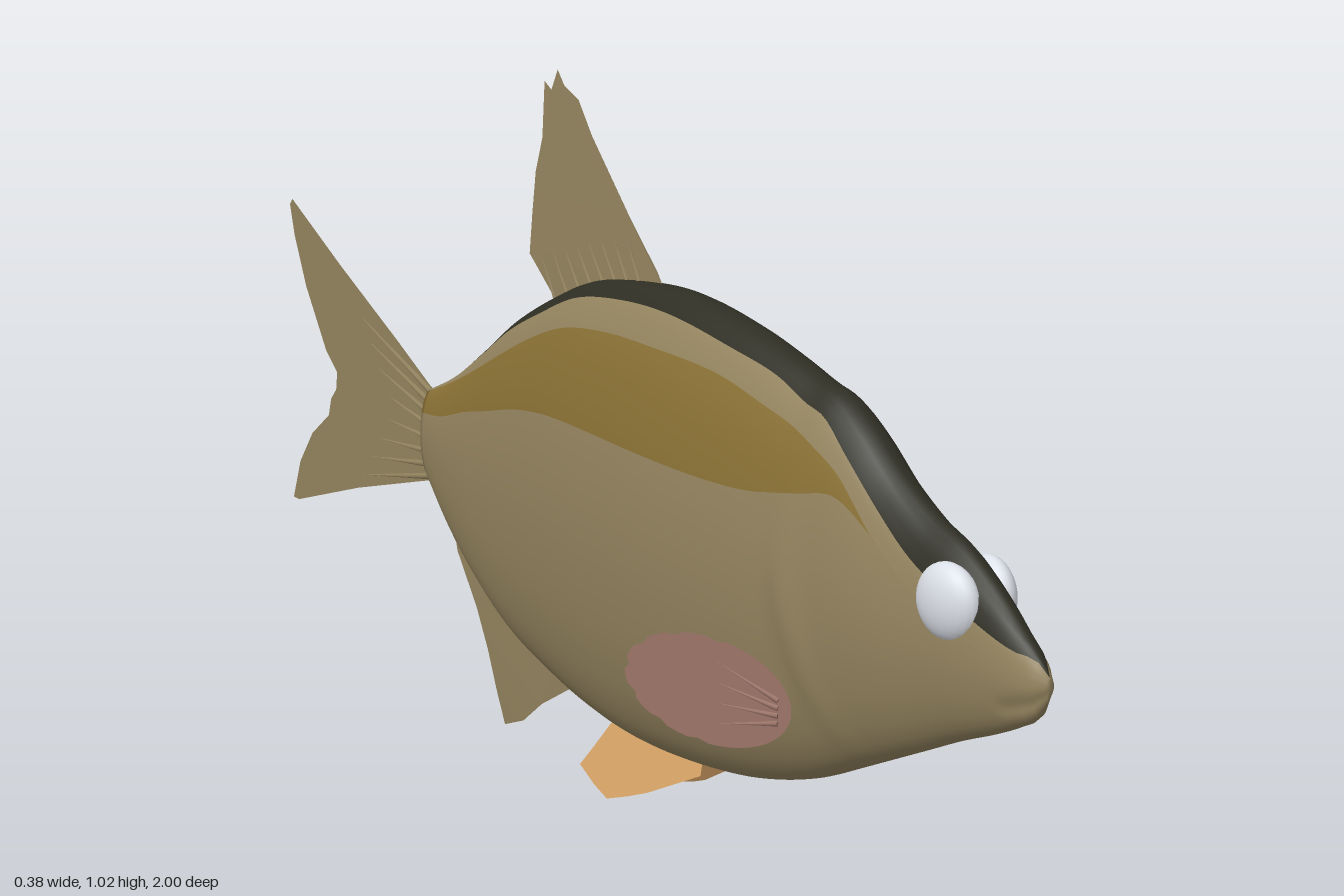
import * as THREE from 'three';

const mat = (name, color, side = THREE.FrontSide) => {
  const m = new THREE.MeshStandardMaterial({ color, side });
  m.name = name;
  return m;
};

// Body stations: z, then bottom, top, half width, back edge, gold top, gold bottom
const STATIONS = [
  [-0.49, 0.34, 0.485, 0.02, 0.485, 0.482, 0.45],
  [-0.40, 0.27, 0.525, 0.038, 0.525, 0.515, 0.465],
  [-0.30, 0.21, 0.585, 0.056, 0.577, 0.555, 0.495],
  [-0.20, 0.165, 0.65, 0.07, 0.635, 0.60, 0.52],
  [-0.10, 0.14, 0.70, 0.081, 0.68, 0.645, 0.545],
  [0.00, 0.122, 0.74, 0.09, 0.72, 0.68, 0.56],
  [0.12, 0.113, 0.762, 0.097, 0.74, 0.698, 0.565],
  [0.25, 0.12, 0.77, 0.10, 0.745, 0.702, 0.565],
  [0.40, 0.143, 0.752, 0.095, 0.728, 0.695, 0.565],
  [0.50, 0.17, 0.73, 0.088, 0.71, 0.675, 0.57],
  [0.56, 0.192, 0.714, 0.081, 0.69, 0.66, 0.58],
  [0.60, 0.21, 0.706, 0.076, 0.68, 0.645, 0.588],
  [0.65, 0.235, 0.68, 0.07, 0.645, 0.62, 0.595],
  [0.72, 0.27, 0.63, 0.06, 0.59, 0.56, 0.56],
  [0.78, 0.30, 0.598, 0.051, 0.55, 0.52, 0.52],
  [0.85, 0.335, 0.572, 0.042, 0.52, 0.49, 0.49],
  [0.91, 0.362, 0.535, 0.032, 0.495, 0.47, 0.47],
  [0.955, 0.385, 0.50, 0.024, 0.48, 0.46, 0.46],
  [0.985, 0.405, 0.477, 0.016, 0.474, 0.455, 0.455],
  [1.00, 0.43, 0.458, 0.007, 0.458, 0.452, 0.452],
];
const PANELS = [4, 3, 5, 20];      // strips per half: back, flank, gold, flank
const PANEL_MATERIAL = [1, 0, 2, 0];

// Body lofted from elliptical rings, with strip edges following the colour bands
function bodyGeometry() {
  const spline = new THREE.CubicInterpolant(
    STATIONS.map((s) => s[0]), STATIONS.flatMap((s) => s.slice(1)), 6, new Float32Array(6));
  const steps = 110, half = PANELS.reduce((a, b) => a + b), ring = half * 2;
  const pos = [], faces = [[], [], []];
  const bump = (v, width) => Math.exp(-((v / width) ** 2));

  for (let i = 0; i <= steps; i++) {
    const z = -0.49 + 1.49 * i / steps;
    const [bottom, top, width, ...bands] = spline.evaluate(z);
    const cy = (top + bottom) / 2, h = (top - bottom) / 2;
    const stops = [0];
    for (const y of bands) {
      const a = Math.acos(THREE.MathUtils.clamp((y - cy) / h, -1, 1));
      stops.push(Math.max(a, stops[stops.length - 1]));
    }
    stops.push(Math.PI);
    const angles = [];
    PANELS.forEach((n, p) => {
      for (let k = 0; k < n; k++) angles.push(THREE.MathUtils.lerp(stops[p], stops[p + 1], k / n));
    });
    angles.push(Math.PI);
    for (let j = 0; j < ring; j++) {
      const a = angles[j <= half ? j : ring - j], y = cy + h * Math.cos(a);
      // Raised gill cover edge and a shallow mouth crease
      const gillZ = 0.58 + 1.7 * Math.max(0, 0.5 - y) ** 2 * (y < 0.5 ? 1 : 0);
      let out = 0.007 * bump(z - gillZ, 0.025) * bump(y - 0.44, 0.13);
      if (z > 0.94) out -= 0.004 * bump(y - 0.43 + (1 - z) * 0.4, 0.01);
      const x = Math.max(0, width + out) * Math.sin(a);
      pos.push(j <= half ? x : -x, y, z);
    }
  }

  const stripMaterial = PANELS.flatMap((n, p) => Array(n).fill(PANEL_MATERIAL[p]));
  for (let i = 0; i < steps; i++) {
    for (let j = 0; j < ring; j++) {
      const n = (j + 1) % ring;
      const a = i * ring + j, b = i * ring + n, c = b + ring, d = a + ring;
      faces[stripMaterial[j < half ? j : ring - 1 - j]].push(a, d, b, b, d, c);
    }
  }
  // Closed ends
  const tail = pos.length / 3, nose = tail + 1, last = steps * ring;
  pos.push(0, 0.412, -0.49, 0, 0.444, 1.0);
  for (let j = 0; j < ring; j++) {
    const n = (j + 1) % ring;
    faces[0].push(tail, j, n, nose, last + n, last + j);
  }

  const g = new THREE.BufferGeometry();
  g.setAttribute('position', new THREE.Float32BufferAttribute(pos, 3));
  g.setIndex(faces.flat());
  let start = 0;
  faces.forEach((f, k) => { g.addGroup(start, f.length, k); start += f.length; });
  g.computeVertexNormals();
  return g;
}

// Flat fin from a (z, y) outline, with x given by a rule
function fin(name, outline, material, xRule) {
  const g = new THREE.ShapeGeometry(new THREE.Shape(outline.map(([z, y]) => new THREE.Vector2(z, y))));
  const p = g.attributes.position;
  for (let i = 0; i < p.count; i++) {
    const z = p.getX(i), y = p.getY(i);
    p.setXYZ(i, xRule(z, y), y, z);
  }
  g.computeVertexNormals();
  const m = new THREE.Mesh(g, material);
  m.name = name;
  return m;
}

// Slim tapering ray lying on a fin
function finRay(name, from, to, radius, material) {
  const a = new THREE.Vector3(...from), b = new THREE.Vector3(...to);
  const dir = b.clone().sub(a);
  const m = new THREE.Mesh(new THREE.ConeGeometry(radius, dir.length(), 6), material);
  m.position.copy(a).add(b).multiplyScalar(0.5);
  m.quaternion.setFromUnitVectors(new THREE.Vector3(0, 1, 0), dir.normalize());
  m.name = name;
  return m;
}

export function createModel() {
  const skin = mat('olive skin', 0x94845f);
  const back = mat('dark back', 0x2e2e24);
  const gold = mat('gold band', 0x8a7135);
  const finSkin = mat('olive fin', 0x94845f, THREE.DoubleSide);
  const pink = mat('pink fin', 0x9c7468, THREE.DoubleSide);
  const orange = mat('orange fin', 0xd2a064, THREE.DoubleSide);
  const white = mat('eye white', 0xe4e8f0);

  const fish = new THREE.Group();
  fish.name = 'fish';
  const body = new THREE.Mesh(bodyGeometry(), [skin, back, gold]);
  body.name = 'body';
  fish.add(body);

  // Fins on the centre line
  fish.add(fin('tailFin', [
    [-0.47, 0.48], [-0.6, 0.54], [-0.8, 0.628], [-0.975, 0.71], [-0.985, 0.7], [-0.97, 0.65],
    [-0.93, 0.57], [-0.86, 0.475], [-0.82, 0.445], [-0.825, 0.415], [-0.845, 0.395], [-0.855, 0.365],
    [-0.92, 0.32], [-0.97, 0.26], [-1.0, 0.19], [-0.98, 0.19], [-0.75, 0.265], [-0.47, 0.345],
  ], finSkin, () => 0));
  fish.add(fin('dorsalFin', [
    [0.19, 0.75], [0.165, 0.78], [0.08, 0.85], [-0.02, 0.94], [-0.06, 0.985], [-0.1, 1.0], [-0.12, 1.02],
    [-0.135, 0.99], [-0.155, 1.0], [-0.155, 0.92], [-0.17, 0.87], [-0.175, 0.81], [-0.18, 0.75],
    [-0.1, 0.69], [-0.08, 0.66], [0.1, 0.7],
  ], finSkin, (z, y) => 0.05 * Math.max(0, y - 0.77)));
  fish.add(fin('analFin', [
    [-0.05, 0.16], [-0.065, 0.125], [-0.16, 0.07], [-0.22, 0.025], [-0.28, 0.0], [-0.3, 0.05],
    [-0.32, 0.11], [-0.35, 0.17], [-0.41, 0.245], [-0.42, 0.28], [-0.25, 0.25],
  ], finSkin, (z, y) => 0.06 * Math.max(0, 0.15 - y)));

  // Raised rays at the roots of the tail and dorsal fins
  for (let i = 0; i < 8; i++) {
    const t = i / 7;
    fish.add(finRay('tailRay', [0, 0.35 + 0.125 * t, -0.47],
      [0, 0.29 + 0.27 * t, -0.62 - 0.12 * Math.abs(2 * t - 1)], 0.006, finSkin));
    fish.add(finRay('dorsalRay', [0, 0.74 - 0.07 * t * t, 0.13 - 0.22 * t],
      [0.002, 0.82 - 0.05 * t, 0.08 - 0.24 * t], 0.004, finSkin));
  }

  // Scalloped, tilted oval for the side fins
  const oval = [];
  for (let i = 0; i < 48; i++) {
    const a = i / 48 * Math.PI * 2, edge = Math.cos(a) < 0.5 ? 1 - 0.05 * (i % 4 === 0 ? 1 : 0) : 1;
    const u = 0.102 * edge * Math.cos(a), v = 0.07 * edge * Math.sin(a);
    oval.push([0.49 + u * 0.98 + v * 0.15, 0.313 - u * 0.18 + v]);
  }
  for (const [side, s] of [['left', 1], ['right', -1]]) {
    fish.add(fin(side + 'PectoralFin', oval, pink, (z) => s * (0.07 + 0.6 * (0.587 - z))));
    fish.add(fin(side + 'PelvicFin', [
      [0.3, 0.15], [0.315, 0.118], [0.22, 0.067], [0.18, 0.05], [0.14, 0.035], [0.1, 0.042],
      [0.05, 0.055], [0.065, 0.085], [0.08, 0.118], [0.1, 0.15],
    ], orange, (z, y) => s * (0.025 + 0.5 * (0.112 - y))));
    for (let i = 0; i < 4; i++) {
      const x = (z) => s * (0.07 + 0.6 * (0.587 - z));
      fish.add(finRay(side + 'PectoralRay', [x(0.575), 0.285 + 0.01 * i, 0.575],
        [x(0.5), 0.27 + 0.028 * i, 0.5], 0.004, pink));
    }
    // Eyes
    const eye = new THREE.Mesh(new THREE.SphereGeometry(0.048, 24, 16), white);
    eye.scale.x = 0.52;
    eye.rotation.y = s * -0.12;
    eye.position.set(s * 0.03, 0.512, 0.85);
    eye.name = side + 'Eye';
    fish.add(eye);
  }
  return fish;
}
